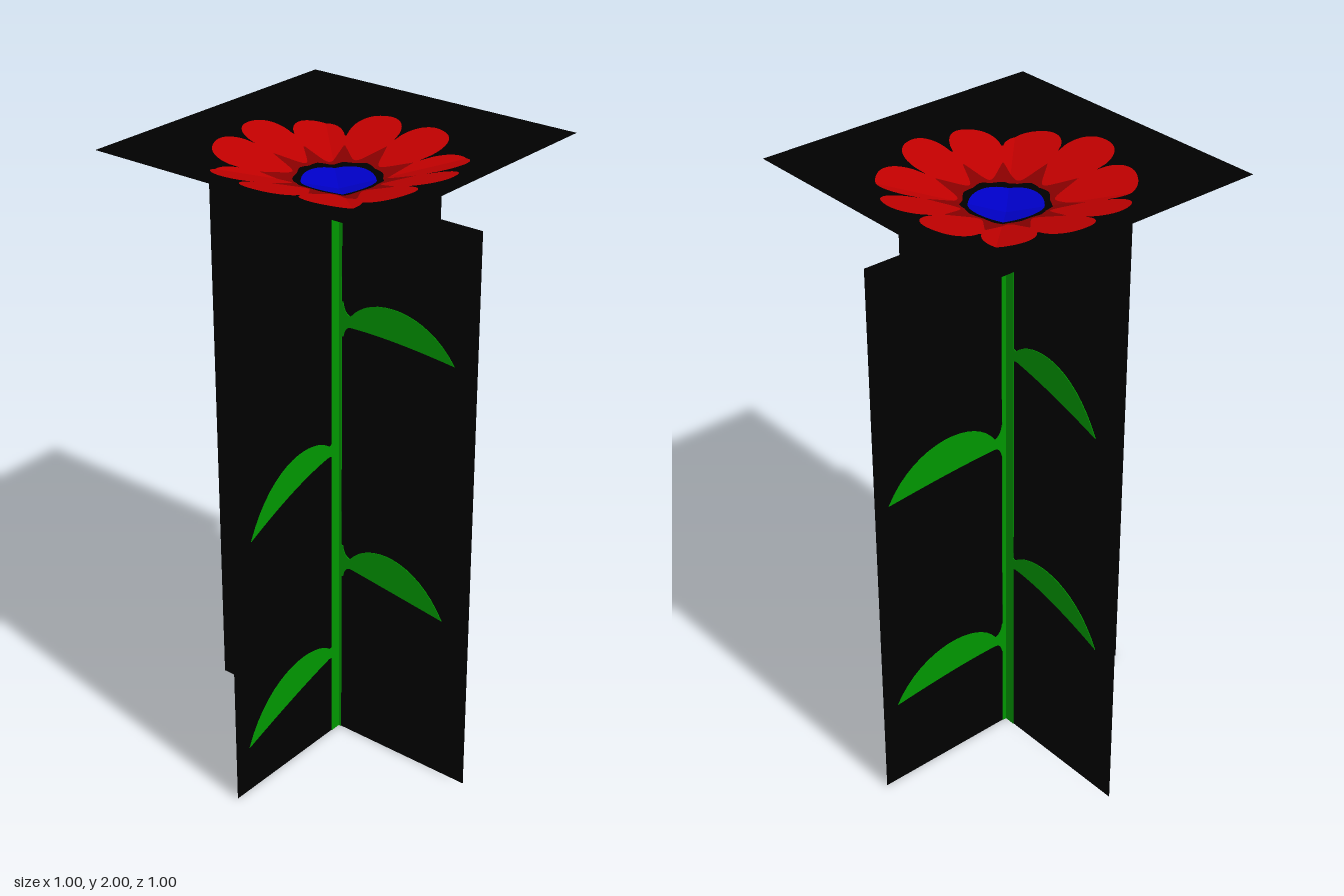
import * as THREE from 'three';

const flat = (name, color) => {
  const m = new THREE.MeshStandardMaterial({ color, side: THREE.DoubleSide });
  m.name = name;
  return m;
};

const HEIGHT = 1.855; // panel height
const APEX = 1.86, RIM = 2, HALF = 0.48; // shallow square funnel
const PLATE = 0.004; // painted plate thickness

// Petals as [angle in degrees, tip radius, notch radius after it], anticlockwise
const PETALS = [
  [-18, 0.365, 0.255], [18, 0.365, 0.245], [51, 0.362, 0.265], [82, 0.375, 0.285],
  [112, 0.372, 0.28], [146, 0.37, 0.28], [180, 0.377, 0.28], [214, 0.365, 0.28],
  [249, 0.362, 0.25], [278, 0.37, 0.25], [310, 0.37, 0.24],
];

// Finds the petal at an angle: u is 0 on its midline and 1 at its notch
function petalAt(deg) {
  const n = PETALS.length;
  const a = ((deg + 18) % 360 + 360) % 360 - 18;
  let i = n - 1;
  while (PETALS[i][0] > a) i--;
  const [a0, tip0, notch] = PETALS[i];
  const [a1, tip1] = PETALS[(i + 1) % n];
  const t = (a - a0) / (a1 + (i === n - 1 ? 360 : 0) - a0);
  return { u: t < 0.5 ? 2 * t : 2 - 2 * t, tip: t < 0.5 ? tip0 : tip1, notch };
}

// Outlines of the flower's colour bands, as radius by angle
const discEdge = () => 0.108;
const gapEdge = (d) => 0.124 + 0.008 * petalAt(d).u;
const heartEdge = (d) => 0.138 + 0.085 * petalAt(d).u ** 2;
const petalEdge = (d) => {
  const { u, tip, notch } = petalAt(d);
  return notch + (tip - notch) * (1 - u ** 2.4) ** 0.6;
};
const squareEdge = (d) => {
  const a = THREE.MathUtils.degToRad(d);
  return HALF / Math.max(Math.abs(Math.cos(a)), Math.abs(Math.sin(a)));
};

// A band of the funnel between two outlines
function funnelBand(inner, outer) {
  const point = (d, r) => {
    const a = THREE.MathUtils.degToRad(d);
    const x = r * Math.cos(a), z = -r * Math.sin(a);
    return [x, APEX + (RIM - APEX) * Math.max(Math.abs(x), Math.abs(z)) / HALF, z];
  };
  const pos = [];
  for (let d = 0; d < 360; d++) {
    const a0 = point(d, inner ? inner(d) : 0), a1 = point(d + 1, inner ? inner(d + 1) : 0);
    const b0 = point(d, outer(d)), b1 = point(d + 1, outer(d + 1));
    pos.push(...a0, ...b0, ...b1);
    if (inner) pos.push(...a0, ...b1, ...a1);
  }
  const g = new THREE.BufferGeometry();
  g.setAttribute('position', new THREE.Float32BufferAttribute(pos, 3));
  g.computeVertexNormals();
  return g;
}

// Arched leaf on one side of the stem
function leafShape([side, base, tipX, tipY, top, low]) {
  const s = new THREE.Shape();
  const arch = (8 * top - tipY - base - 0.02) / 6;
  const belly = 2 * low - (tipY + base - 0.015) / 2;
  s.moveTo(0, base - 0.06);
  s.lineTo(side * 0.018, base - 0.05);
  s.quadraticCurveTo(side * 0.025, base - 0.015, side * 0.05, base - 0.015);
  s.quadraticCurveTo(side * 0.2, belly, side * tipX, tipY);
  s.bezierCurveTo(side * (tipX - 0.1), arch, side * 0.12, arch, side * 0.045, base + 0.02);
  s.quadraticCurveTo(side * 0.022, base + 0.025, side * 0.018, base + 0.06);
  s.lineTo(0, base + 0.06);
  return s;
}

function stemShape(left, right) {
  const s = new THREE.Shape();
  s.moveTo(left - 0.002, 0);
  s.lineTo(right - 0.003, 0);
  s.lineTo(right, HEIGHT);
  s.lineTo(left + 0.002, HEIGHT);
  return s;
}

// Leaves as [side, base y, tip distance, tip y, top y, lower edge y]
const FRONT_LEAVES = [
  [1, 1.1, 0.45, 1.06, 1.2, 1.078], [1, 0.345, 0.445, 0.305, 0.44, 0.325],
  [-1, 1.03, 0.41, 0.885, 1.075, 0.97], [-1, 0.3, 0.44, 0.16, 0.35, 0.235],
];
const SIDE_LEAVES = [
  [1, 1.455, 0.42, 1.425, 1.54, 1.44], [1, 0.63, 0.4, 0.565, 0.71, 0.592],
  [-1, 1.41, 0.39, 1.295, 1.465, 1.355], [-1, 0.655, 0.415, 0.545, 0.71, 0.612],
];

export function createModel() {
  const black = flat('black', 0x000000);
  const green = flat('leaf green', 0x009600);
  const red = flat('petal red', 0xbe0000);
  const darkRed = flat('heart red', 0x860000);
  const blue = flat('disc blue', 0x0000c4);

  const model = new THREE.Group();
  model.name = 'flower';
  const add = (parent, name, geometry, material) => {
    const mesh = new THREE.Mesh(geometry, material);
    mesh.name = name;
    parent.add(mesh);
    return mesh;
  };
  const plate = (shape) => new THREE.ExtrudeGeometry(shape, {
    depth: PLATE, bevelEnabled: false, curveSegments: 16,
  }).translate(0, 0, -PLATE / 2);

  // Upright panel with a stem and four leaves painted through both faces
  const addPanel = (name, turn, stem, leaves) => {
    const panel = new THREE.Group();
    panel.name = name;
    panel.rotation.y = turn;
    add(panel, 'backing', new THREE.PlaneGeometry(1, HEIGHT).translate(0, HEIGHT / 2, 0), black);
    add(panel, 'stem', plate(stemShape(...stem)), green);
    leaves.forEach((l) => add(panel, 'leaf', plate(leafShape(l)), green));
    model.add(panel);
  };
  addPanel('frontPanel', 0, [-0.036, 0.018], FRONT_LEAVES);
  addPanel('sidePanel', -Math.PI / 2, [-0.036, 0.013], SIDE_LEAVES);

  // Flower head, band by band from the middle out
  const head = new THREE.Group();
  head.name = 'flowerHead';
  add(head, 'disc', funnelBand(null, discEdge), blue);
  add(head, 'discGap', funnelBand(discEdge, gapEdge), black);
  add(head, 'petalHearts', funnelBand(gapEdge, heartEdge), darkRed);
  add(head, 'petals', funnelBand(heartEdge, petalEdge), red);
  add(head, 'headBacking', funnelBand(petalEdge, squareEdge), black);
  model.add(head);

  return model;
}
